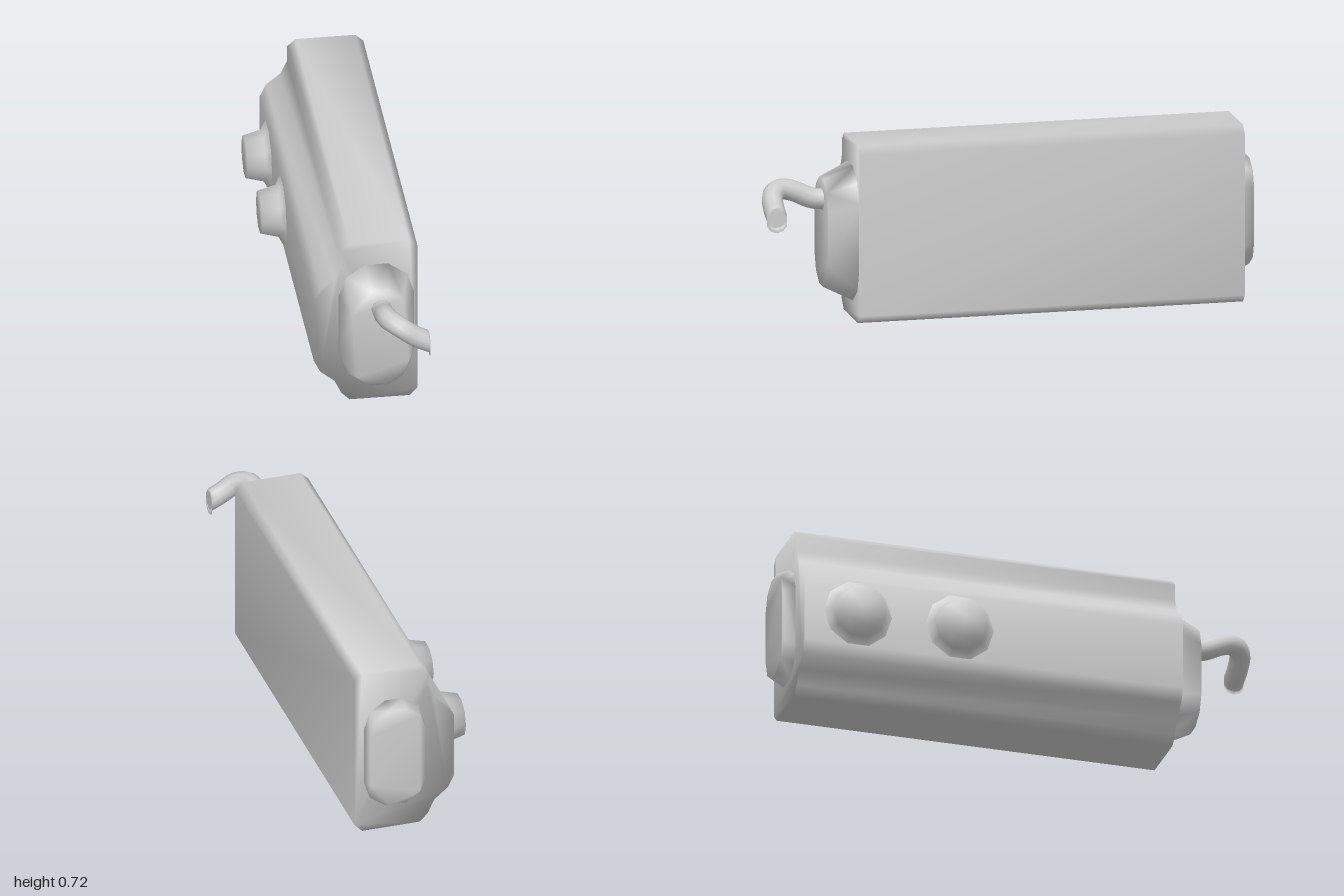
import * as THREE from 'three';
import { mergeVertices } from 'three/addons/utils/BufferGeometryUtils.js';
import { ConvexGeometry } from 'three/addons/geometries/ConvexGeometry.js';

const material = new THREE.MeshStandardMaterial({ color: 0xcccccc });
const openMaterial = new THREE.MeshStandardMaterial({ color: 0xcccccc, side: THREE.DoubleSide });

// Shares vertices so that the shading runs softly over the edges
function soften(geometry) {
  geometry.deleteAttribute('normal');
  geometry.deleteAttribute('uv');
  const merged = mergeVertices(geometry, 1e-4);
  merged.computeVertexNormals();
  return merged;
}

function part(name, geometry, mat = material) {
  const mesh = new THREE.Mesh(geometry, mat);
  mesh.name = name;
  return mesh;
}

// Upright rounded outline with five facets on each end, at depth z
function capsuleRing(cx, halfWidth, bottom, top, z) {
  const points = [];
  const rise = halfWidth / Math.sin(Math.PI * 0.5) * 0.92;
  for (const side of [1, -1]) {
    for (let i = 0; i <= 5; i++) {
      const a = (i / 5) * Math.PI;
      const end = side > 0 ? top : bottom;
      const y = end - side * rise * (1 - Math.sin(a) / Math.sin(Math.PI * 0.4));
      points.push(new THREE.Vector3(cx + halfWidth * Math.cos(a), y, z));
    }
  }
  return points;
}

export function createModel() {
  const model = new THREE.Group();
  model.name = 'canister';

  // Long housing: chamfered box with a stepped bulge along its right side
  const profile = [
    [-0.02, 0], [0.22, 0], [0.252, 0.033], [0.252, 0.69], [0.22, 0.72], [-0.02, 0.72],
    [-0.053, 0.69], [-0.053, 0.622], [-0.08, 0.565], [-0.137, 0.52], [-0.163, 0.465],
    [-0.163, 0.19], [-0.137, 0.138], [-0.08, 0.091], [-0.053, 0.033],
  ];
  const shape = new THREE.Shape(profile.map(([x, y]) => new THREE.Vector2(x, y)));
  const housing = new THREE.ExtrudeGeometry(shape, { depth: 1.57, bevelEnabled: false });
  housing.translate(0, 0, -0.95);
  model.add(part('housing', soften(housing)));

  // Tapered end caps
  model.add(part('frontCap', soften(new ConvexGeometry([
    ...capsuleRing(0.087, 0.153, 0.07, 0.622, 0.615),
    ...capsuleRing(0.087, 0.115, 0.13, 0.565, 0.737),
  ]))));
  model.add(part('backCap', soften(new ConvexGeometry([
    ...capsuleRing(0.087, 0.125, 0.1, 0.585, -0.945),
    ...capsuleRing(0.087, 0.115, 0.13, 0.56, -1),
  ]))));

  // Two flared ports on the right side
  const portProfile = [[0.143, -0.002], [0.107, 0.017], [0.088, 0.09], [0, 0.09]]
    .map(([r, h]) => new THREE.Vector2(r, h));
  for (const [name, z] of [['rearPort', -0.73], ['middlePort', -0.307]]) {
    const port = new THREE.LatheGeometry(portProfile, 10);
    port.rotateZ(Math.PI / 2);
    port.translate(-0.164, 0.327, z);
    model.add(part(name, port, openMaterial));
  }

  // Bent outlet pipe, cut square at the housing's left side
  const path = new THREE.CatmullRomCurve3([
    [0.093, 0.482, 0.72], [0.093, 0.49, 0.78], [0.092, 0.525, 0.86], [0.1, 0.534, 0.91],
    [0.14, 0.52, 0.949], [0.2, 0.479, 0.958], [0.25, 0.454, 0.958], [0.3, 0.43, 0.958],
  ].map((p) => new THREE.Vector3(...p)));
  const pipe = new THREE.TubeGeometry(path, 24, 0.042, 10);
  const position = pipe.attributes.position;
  for (let i = 0; i < position.count; i++) {
    position.setX(i, Math.min(position.getX(i), 0.252));
  }
  model.add(part('outletPipe', soften(pipe), openMaterial));

  const pipeEnd = new THREE.CircleGeometry(0.04, 10);
  pipeEnd.rotateY(Math.PI / 2);
  pipeEnd.translate(0.252, 0.453, 0.958);
  model.add(part('outletEnd', pipeEnd, openMaterial));

  return model;
}
